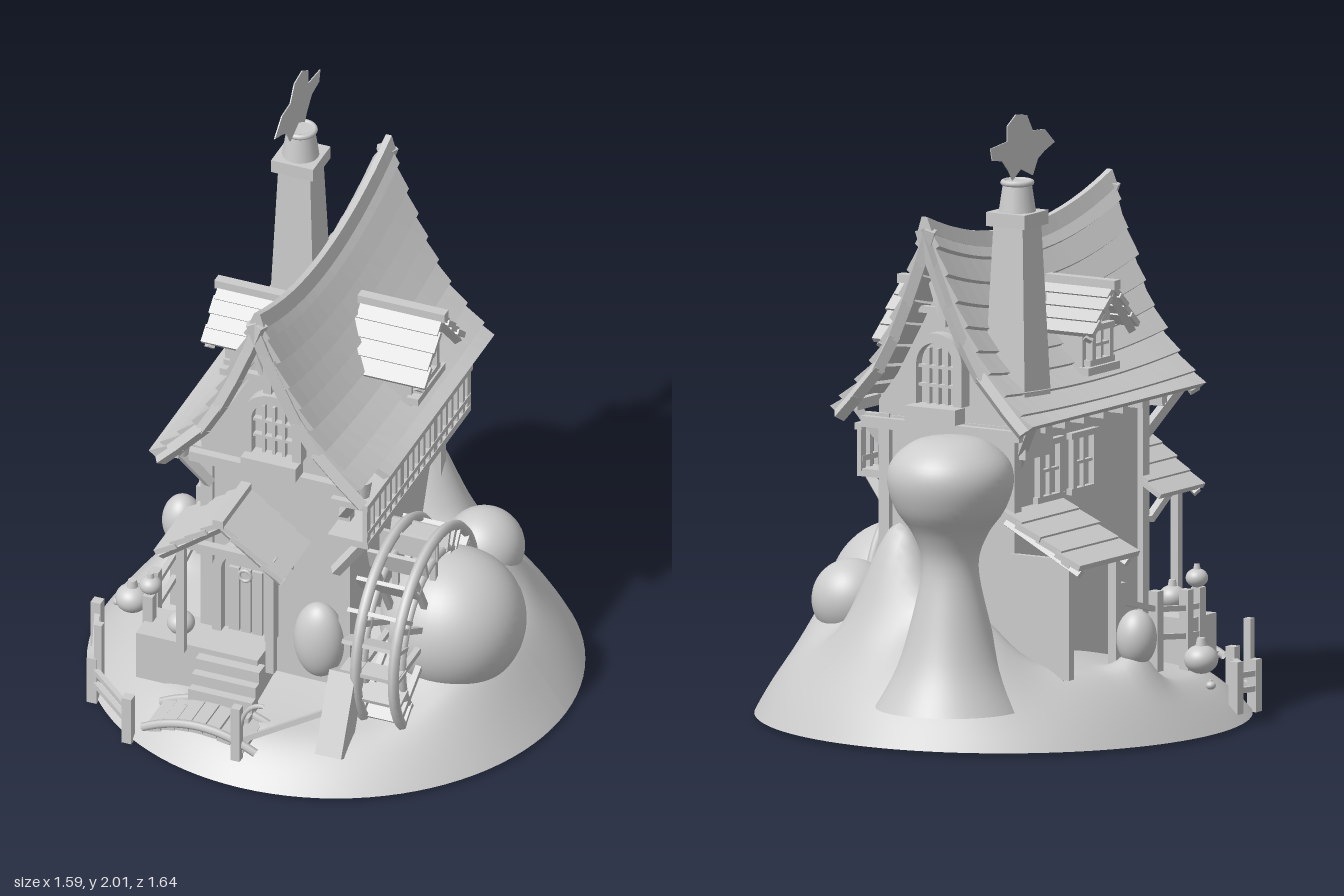
import * as THREE from 'three';

const V = (x, y, z) => new THREE.Vector3(x, y, z);
const sm = THREE.MathUtils.smoothstep;

export function createModel() {
  const root = new THREE.Group();
  root.name = 'hillCottage';
  const clay = new THREE.MeshStandardMaterial({ color: 0xcccccc, side: THREE.DoubleSide });
  clay.name = 'clay grey';

  const add = (name, geo, x = 0, y = 0, z = 0, parent = root) => {
    const m = new THREE.Mesh(geo, clay);
    m.name = name;
    m.position.set(x, y, z);
    parent.add(m);
    return m;
  };
  const box = (name, w, h, d, x, y, z, parent) => add(name, new THREE.BoxGeometry(w, h, d), x, y, z, parent);
  const group = (name, x, y, z, ry = 0) => {
    const g = new THREE.Group();
    g.name = name;
    g.position.set(x, y, z);
    g.rotation.y = ry;
    root.add(g);
    return g;
  };
  // square timber between two points
  const beam = (name, a, b, t, parent) => {
    const m = box(name, t, t, a.distanceTo(b), 0, 0, 0, parent);
    m.position.copy(a).add(b).multiplyScalar(0.5);
    m.quaternion.setFromUnitVectors(V(0, 0, 1), b.clone().sub(a).normalize());
    return m;
  };
  const extrude = (pts, depth) => new THREE.ExtrudeGeometry(
    new THREE.Shape(pts.map(p => new THREE.Vector2(...p))), { depth, bevelEnabled: false });
  // closed solid through a row of four-cornered sections
  const loft = rings => {
    const p = [], quad = (a, b, c, d) => [a, b, c, a, c, d].forEach(v => p.push(v.x, v.y, v.z));
    for (let i = 0; i < rings.length - 1; i++)
      for (let j = 0; j < 4; j++) {
        const k = (j + 1) % 4;
        quad(rings[i][j], rings[i][k], rings[i + 1][k], rings[i + 1][j]);
      }
    quad(...[...rings[0]].reverse());
    quad(...rings[rings.length - 1]);
    const g = new THREE.BufferGeometry();
    g.setAttribute('position', new THREE.Float32BufferAttribute(p, 3));
    g.computeVertexNormals();
    return g;
  };
  const sphere = (name, r, x, y, z, sx = 1, sy = 1, sz = 1) => {
    const m = add(name, new THREE.SphereGeometry(r, 40, 28), x, y, z);
    m.scale.set(sx, sy, sz);
    return m;
  };

  // island: disc raised by a smooth height rule (x, z, height, spread x, spread z)
  const hills = [[0.12, -0.43, 0.42, 0.16, 0.13], [0.42, -0.24, 0.24, 0.12, 0.12], [0.45, 0.1, 0.16, 0.24, 0.28],
    [-0.2, -0.55, 0.2, 0.17, 0.13], [-0.1, 0, 0.1, 0.4, 0.4], [-0.58, -0.12, 0.08, 0.07, 0.07]];
  const ground = (x, z) => {
    const r = Math.hypot(x, z);
    let h = 0.12 + 0.1 * sm(-z, -0.25, 0.5);
    for (const [cx, cz, a, sx, sz] of hills) h += a * Math.exp(-(((x - cx) / sx) ** 2) - ((z - cz) / sz) ** 2);
    return h * Math.sqrt(Math.max(0, 1 - sm(r, 0.6, 0.795)));
  };
  const land = new THREE.RingGeometry(0.001, 0.795, 96, 44).rotateX(-Math.PI / 2);
  const lp = land.attributes.position;
  for (let i = 0; i < lp.count; i++) lp.setY(i, ground(lp.getX(i), lp.getZ(i)));
  land.computeVertexNormals();
  add('island', land);
  add('islandUnderside', new THREE.CircleGeometry(0.795, 96).rotateX(Math.PI / 2));

  // rounded boulders and the bulbous tree
  sphere('bigBoulder', 0.235, 0.445, 0.335, 0.1);
  sphere('rearBoulder', 0.13, 0.4, 0.37, -0.27);
  sphere('doorBoulder', 0.085, 0.1, 0.34, 0.38, 1, 1.6, 0.8);
  sphere('sideRock', 0.065, -0.58, 0.31, -0.12, 1, 1.4, 1);
  const tree = [[0.24, 0.12], [0.17, 0.25], [0.12, 0.42], [0.09, 0.58], [0.12, 0.68], [0.175, 0.76], [0.203, 0.85],
    [0.185, 0.92], [0.12, 0.975], [0.05, 0.993], [0, 0.995]];
  const curve = new THREE.SplineCurve(tree.map(p => new THREE.Vector2(...p)));
  const treeMesh = add('roundTree', new THREE.LatheGeometry(curve.getPoints(40), 48), -0.185, 0, -0.605);
  treeMesh.geometry.computeVertexNormals();

  // walls
  box('lowerWalls', 0.46, 0.86, 0.76, -0.06, 0.57, -0.02);
  add('upperWalls', extrude([[-0.25, 0.96], [0.25, 0.96], [0.25, 1.05], [0.18, 1.14], [0.08, 1.32], [0, 1.48], [-0.08, 1.32], [-0.18, 1.14], [-0.25, 1.05]], 0.83), -0.04, 0, -0.41);
  for (const z of [0.36, -0.4]) for (const x of [-0.29, 0.185]) box('cornerPost', 0.04, 0.82, 0.04, x, 0.6, z);
  for (const z of [0.43, -0.42]) box('floorBeam', 0.6, 0.035, 0.04, -0.04, 0.98, z);
  for (let i = 0; i < 8; i++) box('joistEnd', 0.62, 0.03, 0.03, -0.04, 0.99, -0.4 + i * 0.115);

  // swept main roof made of overlapping plank courses
  const profile = new THREE.SplineCurve([[0, 1.54], [0.09, 1.34], [0.205, 1.15], [0.365, 1.015]].map(p => new THREE.Vector2(...p)));
  const roofPoint = (side, t, s, lift, zf) => {
    const p = profile.getPoint(Math.min(t, 1));
    const zb = -0.49 - 0.03 * (1 - t), z = zb + (zf + 0.04 * (1 - t) - zb) * s;
    const sag = 0.11 * (1 - t) * (2 * s - 1) ** 2;
    return V(-0.04 + side * (p.x + lift * 0.8), p.y + sag + lift * 0.6, z);
  };
  const courses = 9, steps = 16;
  for (const side of [1, -1])
    for (let i = 0; i < courses; i++) {
      const rings = [], t0 = i / courses, t1 = Math.min(1, (i + 1.15) / courses);
      const zf = side > 0 && i === courses - 1 ? 0.38 : 0.53 + 0.008 * Math.sin(i * 4.1);
      for (let k = 0; k <= steps; k++) {
        const s = k / steps;
        const ring = [[t0, 0.005], [t0, -0.02], [t1, -0.005], [t1, 0.024]].map(([t, l]) => roofPoint(side, t, s, l, zf));
        rings.push(side > 0 ? ring : ring.reverse());
      }
      add('roofCourse', loft(rings));
    }
  const ridge = [];
  for (let k = 0; k <= steps; k++) {
    const s = k / steps, z = -0.525 + 1.1 * s, y = 1.55 + 0.11 * (2 * s - 1) ** 2;
    ridge.push([V(-0.01, y - 0.03, z), V(-0.025, y + 0.02, z), V(-0.045, y + 0.02, z), V(-0.065, y - 0.03, z)]);
  }
  add('ridgeBeam', loft(ridge));

  // gable timbers, bargeboards and eave brackets
  for (const [z, s] of [[0.535, 1], [-0.485, 0]])
    for (const side of [1, -1]) {
      for (let i = 0; i < 6; i++)
        beam('bargeboard', roofPoint(side, i / 6, s, -0.02, 0.53), roofPoint(side, (i + 1.1) / 6, s, -0.02, 0.53), 0.035);
      const zi = z - Math.sign(z) * 0.07;
      beam('gableStrut', V(-0.04, 1.36, zi), V(-0.04 + side * 0.09, 1.45 - 0.09, zi), 0.022);
      beam('gableStrut', V(-0.04, 1.32, zi), V(-0.04 + side * 0.05, 1.47, zi), 0.022);
      beam('eaveBracket', V(-0.04 + side * 0.23, 0.86, zi * 0.86), V(-0.04 + side * 0.33, 1.02, zi), 0.03);
      box('purlinEnd', 0.035, 0.035, 0.14, -0.04 + side * 0.3, 1.04, zi);
    }
  for (const z of [0.465, -0.415]) box('kingPost', 0.028, 0.24, 0.028, -0.04, 1.43, z);

  // arched frame filled with a pane and bars, facing +z
  const arch = (w, h) => {
    const s = new THREE.Shape();
    s.moveTo(-w, 0).lineTo(w, 0).lineTo(w, h - w).absarc(0, h - w, w, 0, Math.PI, false).lineTo(-w, 0);
    return s;
  };
  const archedFrame = (g, w, h, rim) => {
    const outer = arch(w + rim, h + rim);
    outer.holes.push(arch(w, h));
    add('archSurround', new THREE.ExtrudeGeometry(outer, { depth: 0.045, bevelEnabled: false, curveSegments: 14 }), 0, 0, 0, g);
    add('archPanel', new THREE.ExtrudeGeometry(arch(w, h), { depth: 0.01, bevelEnabled: false }), 0, 0, 0, g);
  };
  for (const [z, ry] of [[0.42, 0], [-0.41, Math.PI]]) {
    const g = group('gableWindow', -0.03, 1.06, z, ry);
    archedFrame(g, 0.07, 0.2, 0.032);
    for (const x of [-0.035, 0, 0.035]) box('windowBar', 0.01, 0.18, 0.02, x, 0.09, 0.02, g);
    for (const y of [0.06, 0.12]) box('windowBar', 0.14, 0.01, 0.02, 0, y, 0.02, g);
    box('flowerBox', 0.19, 0.05, 0.06, 0, -0.03, 0.045, g);
  }
  const door = group('frontDoor', -0.155, 0.3, 0.36);
  archedFrame(door, 0.075, 0.31, 0.03);
  for (const x of [-0.04, 0, 0.04]) box('doorPlank', 0.035, 0.24, 0.02, x, 0.12, 0.012, door);
  add('doorPorthole', new THREE.TorusGeometry(0.02, 0.006, 8, 16), 0, 0.22, 0.025, door);

  // square window facing +z
  const squareWindow = (g, w, h, y) => {
    for (const s of [-1, 1]) {
      box('windowFrame', 0.02, h, 0.03, s * w / 2, y, 0, g);
      box('windowFrame', w + 0.04, 0.02, 0.03, 0, y + s * h / 2, 0, g);
    }
    box('windowBar', 0.01, h, 0.02, 0, y, 0, g);
    box('windowBar', w, 0.01, 0.02, 0, y, 0, g);
  };
  for (const z of [0, -0.2]) squareWindow(group('leftWallWindow', -0.295, 0, z, -Math.PI / 2), 0.12, 0.18, 0.84);

  // plank gable roof with its ridge along local z from 0 to length
  const gableRoof = (g, half, rise, length, n) => {
    const L = Math.hypot(half, rise), a = Math.atan2(rise, half);
    for (const side of [1, -1])
      for (let i = 0; i < n; i++) {
        const d = (i + 0.5) * L / n;
        const m = box('roofPlank', L / n * 1.25, 0.018, length + 0.012 * (i % 2), side * d * Math.cos(a), -d * Math.sin(a), length / 2, g);
        m.rotation.z = -side * (a - 0.12);
      }
    box('ridgeCap', 0.035, 0.03, length + 0.02, 0, 0.005, length / 2, g);
    for (const side of [1, -1]) beam('bargeboard', V(0, -0.02, length - 0.02), V(side * half, -rise - 0.02, length - 0.02), 0.025, g);
  };
  const dormer = (x, y, z, ry, half, rise, length) => {
    const g = group('dormer', x, y, z, ry);
    gableRoof(g, half, rise, length, 4);
    const w = half * 0.62;
    add('dormerWall', extrude([[-w, -0.3], [w, -0.3], [w, -rise * 0.68], [0, -0.02], [-w, -rise * 0.68]], length - 0.07), 0, 0, 0, g);
    const win = new THREE.Group();
    win.name = 'dormerWindow';
    win.position.z = length - 0.06;
    g.add(win);
    squareWindow(win, w * 1.3, 0.11, -0.19);
    box('dormerSill', w * 2.3, 0.025, 0.04, 0, -0.27, 0, win);
  };
  dormer(0.07, 1.375, -0.05, Math.PI / 2, 0.16, 0.17, 0.28);
  dormer(-0.11, 1.4, 0.08, -Math.PI / 2, 0.13, 0.14, 0.26);

  // chimney, cap, pot and flat smoke puff
  const stack = add('chimneyStack', new THREE.CylinderGeometry(0.078, 0.12, 0.75, 4).rotateY(Math.PI / 4).toNonIndexed(), -0.25, 1.275, -0.31);
  stack.geometry.computeVertexNormals();
  box('chimneyCap', 0.145, 0.045, 0.145, -0.25, 1.665, -0.31);
  add('chimneyPot', new THREE.CylinderGeometry(0.045, 0.06, 0.1, 20), -0.25, 1.735, -0.31);
  add('potRim', new THREE.TorusGeometry(0.045, 0.01, 8, 20).rotateX(Math.PI / 2), -0.25, 1.78, -0.31);
  const smoke = [[-0.09, 1.88], [-0.15, 1.93], [-0.22, 1.935], [-0.255, 1.99], [-0.32, 2], [-0.37, 1.97], [-0.37, 1.92], [-0.47, 1.91],
    [-0.46, 1.87], [-0.4, 1.86], [-0.36, 1.82], [-0.34, 1.79], [-0.29, 1.82], [-0.22, 1.79], [-0.19, 1.84], [-0.15, 1.86]];
  add('smokePuff', extrude(smoke.map(([z, y]) => [-z, y]), 0.004).rotateY(Math.PI / 2), -0.252, 0, 0);

  // balcony on the left side
  box('balconyDeck', 0.14, 0.025, 0.86, 0.235, 0.805, 0.04);
  box('balconyRail', 0.025, 0.022, 0.88, 0.295, 0.955, 0.04);
  box('balconyLowerRail', 0.02, 0.018, 0.86, 0.295, 0.85, 0.04);
  for (let i = 0; i < 19; i++) box('baluster', 0.016, 0.14, i % 6 ? 0.016 : 0.03, 0.295, 0.88, -0.38 + i * 0.0467);
  for (const z of [0.44, 0.1, -0.36]) beam('balconyBracket', V(0.18, 0.66, z), V(0.28, 0.8, z), 0.03);
  box('balconyEndRail', 0.12, 0.022, 0.022, 0.24, 0.955, 0.47);

  // water wheel and its chute
  const wheel = group('waterWheel', 0, 0.35, 0.2);
  for (const x of [0.29, 0.42]) {
    for (const [r, t] of [[0.338, 0.018], [0.265, 0.013]])
      add('wheelRim', new THREE.TorusGeometry(r, t, 6, 48).rotateY(Math.PI / 2), x, 0, 0, wheel);
    for (let i = 0; i < 6; i++) {
      const a = i * Math.PI / 6, c = Math.cos(a) * 0.33, s = Math.sin(a) * 0.33;
      beam('wheelSpoke', V(x, -s, -c), V(x, s, c), 0.02, wheel);
    }
  }
  for (let i = 0; i < 20; i++) {
    const m = box('paddle', 0.2, 0.075, 0.014, 0.335, 0, 0, wheel), a = i * Math.PI / 10;
    m.position.set(0.335, Math.cos(a) * 0.3, Math.sin(a) * 0.3);
    m.rotation.x = a;
  }
  beam('wheelAxle', V(0.15, 0, 0), V(0.45, 0, 0), 0.04, wheel);
  beam('chute', V(0.245, 0.08, 0.62), V(0.245, 0.33, 0.5), 0.09);

  // entrance porch, deck, steps and arched footbridge
  gableRoof(group('porchRoof', -0.16, 0.845, 0.34), 0.21, 0.16, 0.25, 4);
  for (const x of [-0.31, 0]) {
    box('porchPost', 0.028, 0.42, 0.028, x, 0.5, 0.54);
    beam('porchBrace', V(x, 0.6, 0.38), V(x, 0.71, 0.55), 0.025);
  }
  box('porchTie', 0.34, 0.028, 0.028, -0.155, 0.71, 0.54);
  box('porchDeck', 0.42, 0.17, 0.16, -0.27, 0.21, 0.43);
  for (let i = 0; i < 4; i++) box('step', 0.22, 0.05, 0.05, -0.15, 0.25 - i * 0.04, 0.52 + i * 0.03);
  for (let i = 0; i < 7; i++) {
    const u = (i - 3) / 3;
    box('bridgePlank', 0.046, 0.025, 0.17, -0.175 + u * 0.145, 0.15 - 0.03 * u * u, 0.665).rotation.z = -u * 0.25;
  }
  for (const z of [0.59, 0.745]) {
    const c = new THREE.QuadraticBezierCurve3(V(-0.36, 0.11, z), V(-0.17, 0.215, z), V(0.03, 0.11, z));
    add('bridgeCurb', new THREE.TubeGeometry(c, 16, 0.014, 6));
  }
  box('bridgePost', 0.03, 0.2, 0.03, -0.03, 0.18, 0.755);
  add('lampHook', new THREE.TubeGeometry(new THREE.QuadraticBezierCurve3(V(-0.03, 0.14, 0.75), V(-0.02, 0.3, 0.75), V(0.06, 0.3, 0.75)), 12, 0.008, 6));
  beam('sluiceRail', V(-0.03, 0.14, 0.74), V(0.2, 0.19, 0.54), 0.018);

  // lean-to shed on the right side
  for (let i = 0; i < 4; i++) {
    const u = (i + 0.5) / 4;
    box('shedPlank', 0.1, 0.02, 0.34 + 0.015 * (i % 2), -0.27 - 0.3 * u, 0.74 - 0.16 * u, -0.28).rotation.z = 0.4;
  }
  for (const z of [-0.42, -0.14]) {
    box('shedPost', 0.03, 0.4, 0.03, -0.51, 0.41, z);
    beam('shedRafter', V(-0.28, 0.7, z), V(-0.56, 0.555, z), 0.025);
  }
  box('shedBackWall', 0.2, 0.4, 0.02, -0.4, 0.4, -0.42);

  // fences
  const fence = (name, pts, h, lift) => pts.forEach(([x, z], i) => {
    const y = ground(x, z) + lift;
    box(name + 'Post', 0.034, h + 0.06, 0.034, x, y + h / 2, z);
    if (!i) return;
    const [px, pz] = pts[i - 1], py = ground(px, pz) + lift;
    for (const f of [0.4, 0.85]) beam(name + 'Rail', V(px, py + h * f, pz), V(x, y + h * f, z), 0.018);
  });
  fence('terraceFence', [[-0.5, -0.1], [-0.5, 0.12], [-0.5, 0.3], [-0.47, 0.42]], 0.2, 0.03);
  fence('frontFence', [[-0.72, 0.25], [-0.63, 0.5], [-0.44, 0.67]], 0.11, 0.02);
  box('tallFencePost', 0.025, 0.2, 0.025, -0.61, 0.19, 0.5);

  // pots and lanterns
  for (const [x, y, z, r] of [[-0.345, 0.34, 0.46, 0.045], [-0.62, 0.2, 0.2, 0.055], [-0.695, 0.13, 0.14, 0.016], [-0.47, 0.42, 0.41, 0.036]]) {
    sphere('roundPot', r, x, y, z, 1, 0.85, 1);
    add('potNeck', new THREE.CylinderGeometry(r * 0.25, r * 0.35, r * 0.5, 10), x, y + r, z);
  }
  for (const x of [0.285, -0.34]) add('lantern', new THREE.CylinderGeometry(0.03, 0.02, 0.06, 8), x, 1.02, 0.46);
  return root;
}
